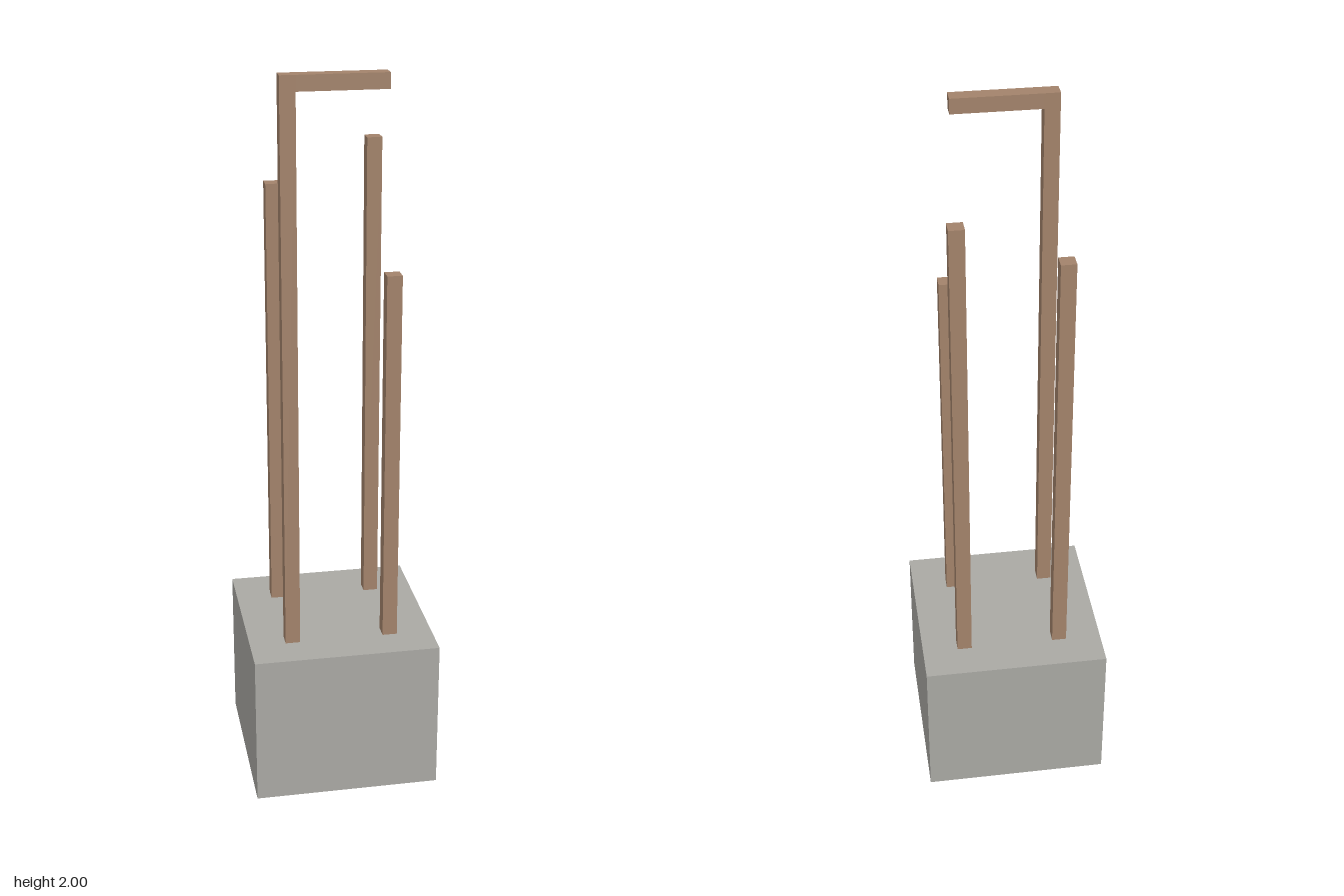
import * as THREE from 'three';

const stone = new THREE.MeshStandardMaterial({ color: 0xaaa9a4, flatShading: true });
const rust = new THREE.MeshStandardMaterial({ color: 0xa3836b, flatShading: true });

const BASE_W = 0.517, BASE_H = 0.433; // concrete block
const BAR = 0.041, OFFSET = 0.138;    // bar thickness and distance from the centre
const TOP = 2, BEAM_END = 0.12;

// Box given by its minimum and maximum corners
function box(name, min, max, material) {
  const size = max.map((v, i) => v - min[i]);
  const mesh = new THREE.Mesh(new THREE.BoxGeometry(...size), material);
  mesh.position.set(...max.map((v, i) => (v + min[i]) / 2));
  mesh.name = name;
  return mesh;
}

export function createModel() {
  const model = new THREE.Group();
  model.name = 'blockWithBars';

  // Concrete block
  const w = BASE_W / 2, t = BAR / 2;
  model.add(box('concreteBlock', [-w, 0, -w], [w, BASE_H, w], stone));

  // Upright bars, each broken off at its own height
  const bars = [
    ['frontRightBar', -1, 1, TOP],
    ['frontLeftBar', 1, 1, 1.48],
    ['backRightBar', -1, -1, 1.67],
    ['backLeftBar', 1, -1, 1.785],
  ];
  for (const [name, sx, sz, top] of bars) {
    const x = sx * OFFSET, z = sz * OFFSET;
    model.add(box(name, [x - t, BASE_H, z - t], [x + t, top, z + t], rust));
  }

  // Bent arm at the top of the tallest bar
  model.add(box('bentArm', [-OFFSET + t, TOP - BAR, OFFSET - t], [BEAM_END, TOP, OFFSET + t], rust));

  return model;
}
